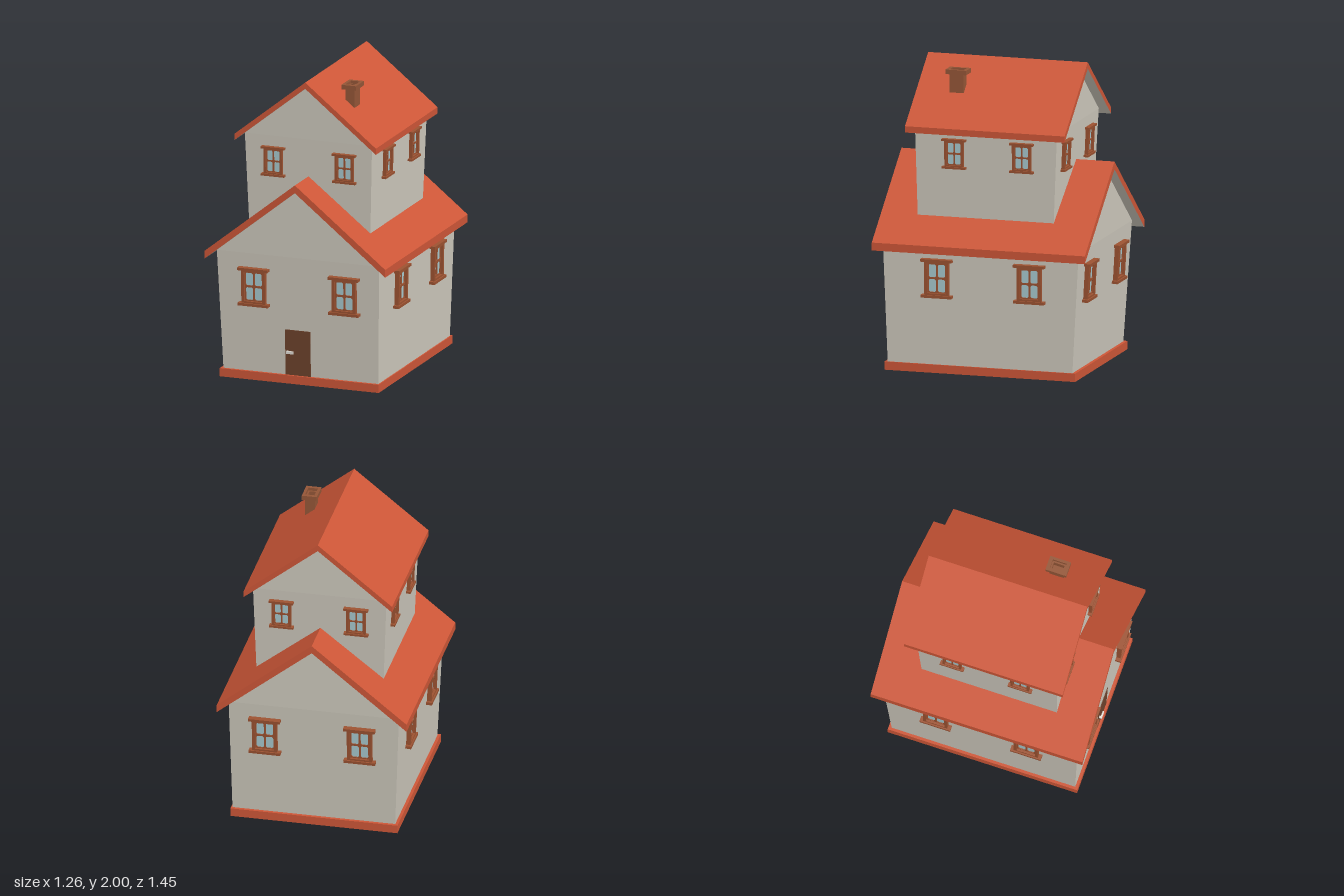
import * as THREE from 'three';
import { ConvexGeometry } from 'three/addons/geometries/ConvexGeometry.js';

const mat = (name, color) => {
  const m = new THREE.MeshStandardMaterial({ color });
  m.name = name;
  return m;
};

export function createModel() {
  const wallMat = mat('plaster', 0xcdc8bc);
  const roofMat = mat('roof red', 0xcd5637);
  const frameMat = mat('window wood', 0x9c5231);
  const chimneyMat = mat('chimney brown', 0x945637);
  const doorMat = mat('door brown', 0x6e432c);
  const glassMat = mat('glass', 0xa9cbd0);
  const handleMat = mat('handle', 0xe4e1da);

  const house = new THREE.Group();
  house.name = 'house';

  const add = (parent, name, geometry, material, x = 0, y = 0, z = 0) => {
    const mesh = new THREE.Mesh(geometry, material);
    mesh.name = name;
    mesh.position.set(x, y, z);
    parent.add(mesh);
    return mesh;
  };
  const box = (w, h, d) => new THREE.BoxGeometry(w, h, d);

  // Rectangle with clipped corners, used for frames and their openings
  const rect = (w, h, cx = 0, cy = 0, cut = 0, Type = THREE.Path) => {
    const a = w / 2, b = h / 2;
    const pts = cut
      ? [[-a + cut, -b], [a - cut, -b], [a, -b + cut], [a, b - cut], [a - cut, b], [-a + cut, b], [-a, b - cut], [-a, -b + cut]]
      : [[-a, -b], [a, -b], [a, b], [-a, b]];
    return new Type(pts.map(([x, y]) => new THREE.Vector2(cx + x, cy + y)));
  };
  const framed = (w, h, holes, depth) => {
    const s = rect(w, h, 0, 0, 0, THREE.Shape);
    s.holes = holes;
    return new THREE.ExtrudeGeometry(s, { depth, bevelEnabled: false });
  };

  // Window pieces, shared by every window
  const panes = [];
  for (const sx of [-1, 1]) for (const sy of [-1, 1]) panes.push(rect(0.05, 0.085, sx * 0.031, sy * 0.049, 0.008));
  const surroundGeo = framed(0.165, 0.235, [rect(0.126, 0.196)], 0.029);
  const sashGeo = framed(0.128, 0.198, panes, 0.014);
  const glassGeo = box(0.126, 0.196, 0.008);
  const ledgeGeo = box(0.21, 0.018, 0.042);

  const makeWindow = (scale) => {
    const w = new THREE.Group();
    w.name = 'window';
    add(w, 'windowSurround', surroundGeo, frameMat);
    add(w, 'windowSash', sashGeo, frameMat);
    add(w, 'windowGlass', glassGeo, glassMat, 0, 0, 0.003);
    add(w, 'windowSill', ledgeGeo, frameMat, 0, -0.119, 0.018);
    add(w, 'windowLintel', ledgeGeo, frameMat, 0, 0.119, 0.018);
    w.scale.setScalar(scale);
    return w;
  };

  // Fasten an object to one leaning wall: along is x or z, side 0-3 = front, +x, back, -x
  const mount = (object, storey, side, along, y) => {
    const { y0, y1, low, high } = storey;
    const t = (y - y0) / (y1 - y0);
    const edge = [3, 1, 2, 0][side];
    const out = THREE.MathUtils.lerp(low[edge], high[edge], t);
    const lean = Math.atan(Math.abs(high[edge] - low[edge]) / (y1 - y0));
    if (side % 2) object.position.set(out, y, along);
    else object.position.set(along, y, out);
    object.rotation.set(lean, side * Math.PI / 2, 0, 'YXZ');
    house.add(object);
  };

  // low and high: wall limits [xMin, xMax, zMin, zMax] at the foot and at the eaves
  const storeys = [
    {
      name: 'lower', y0: 0.055, y1: 0.853, low: [-0.53, 0.55, -0.615, 0.642], high: [-0.565, 0.565, -0.662, 0.67],
      ridge: 1.355, thick: 0.052, halfX: 0.63, halfZ: 0.725,
      windowY: 0.63, scale: 1, spots: [[-0.305, 0.325], [-0.33, 0.3], [-0.305, 0.325], [-0.3, 0.32]],
    },
    {
      name: 'upper', y0: 0.93, y1: 1.605, low: [-0.413, 0.426, -0.445, 0.475], high: [-0.441, 0.445, -0.476, 0.49],
      ridge: 2, thick: 0.042, halfX: 0.493, halfZ: 0.543,
      windowY: 1.435, scale: 0.77, spots: [[-0.24, 0.255], [-0.238, 0.222], [-0.24, 0.255], [-0.23, 0.235]],
    },
  ];
  const slope = 0.8;

  for (const s of storeys) {
    // Leaning walls with upright gables
    const pts = [];
    const underside = (x) => s.ridge - s.thick - slope * Math.abs(x);
    for (const i of [0, 1]) for (const k of [2, 3]) {
      pts.push(new THREE.Vector3(s.low[i], s.y0, s.low[k]));
      pts.push(new THREE.Vector3(s.high[i], underside(s.high[i]), s.high[k]));
    }
    for (const k of [2, 3]) pts.push(new THREE.Vector3(0, underside(0), s.high[k]));
    add(house, s.name + 'Walls', new ConvexGeometry(pts), wallMat);

    // Gable roof slab, red outside and plaster on the underside
    const X = s.halfX, eave = s.ridge - slope * X;
    const outline = [[-X, eave - s.thick], [0, s.ridge - s.thick], [X, eave - s.thick], [X, eave], [0, s.ridge], [-X, eave]];
    const roof = new THREE.ExtrudeGeometry(
      new THREE.Shape(outline.map(([x, y]) => new THREE.Vector2(x, y))),
      { depth: s.halfZ * 2, bevelEnabled: false });
    roof.translate(0, 0, -s.halfZ);
    roof.clearGroups();
    const normal = roof.attributes.normal;
    for (let v = 0; v < normal.count; v += 3) roof.addGroup(v, 3, normal.getY(v) < -0.1 ? 1 : 0);
    add(house, s.name + 'Roof', roof, [roofMat, wallMat]);

    // Two windows on each of the four walls
    s.spots.forEach((pair, side) => {
      for (const along of pair) mount(makeWindow(s.scale), s, side, along, s.windowY);
    });
  }

  // Foundation
  add(house, 'foundation', box(1.108, 0.055, 1.297), roofMat, 0.005, 0.0275, 0.0125);

  // Front door with handle
  const door = new THREE.Group();
  door.name = 'door';
  add(door, 'doorPanel', box(0.175, 0.305, 0.008), doorMat);
  add(door, 'doorHandle', box(0.05, 0.018, 0.01), handleMat, -0.05, 0.003, 0.018);
  add(door, 'handleStem', box(0.014, 0.014, 0.016), handleMat, -0.068, 0.003, 0.008);
  mount(door, storeys[0], 0, -0.008, 0.2075);

  // Hollow chimney with a wider cap
  const chimney = new THREE.Group();
  chimney.name = 'chimney';
  chimney.position.set(0.222, 0, 0.268);
  const shaft = add(chimney, 'chimneyShaft', framed(0.064, 0.096, [rect(0.042, 0.074)], 0.23), chimneyMat, 0, 1.7, 0);
  const cap = add(chimney, 'chimneyCap', framed(0.1, 0.142, [rect(0.063, 0.095)], 0.03), chimneyMat, 0, 1.92, 0);
  shaft.rotation.x = cap.rotation.x = -Math.PI / 2;
  add(chimney, 'chimneyFloor', box(0.044, 0.01, 0.076), chimneyMat, 0, 1.88, 0);
  house.add(chimney);

  return house;
}
